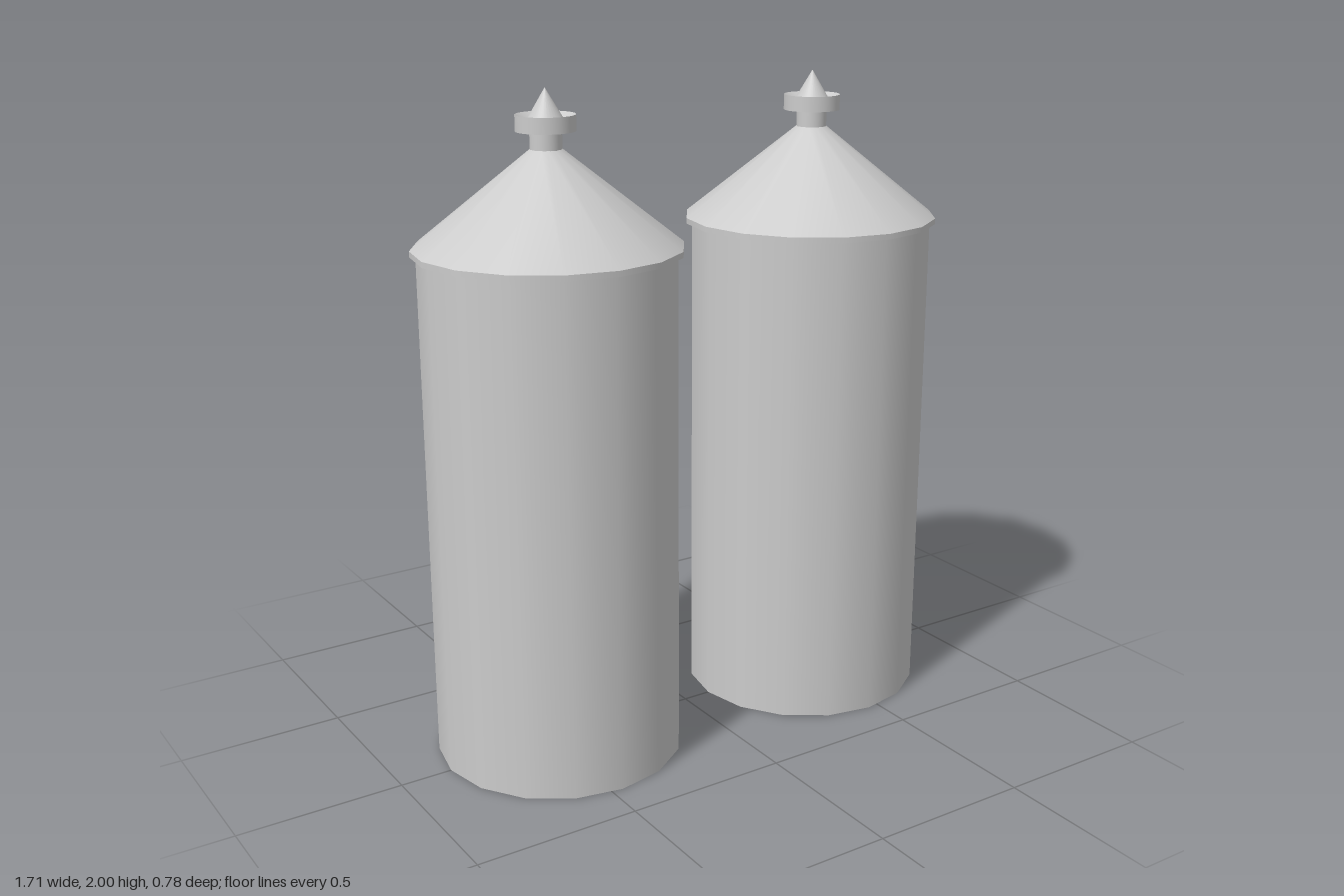
import * as THREE from 'three';
import { mergeGeometries } from 'three/addons/utils/BufferGeometryUtils.js';

const material = new THREE.MeshStandardMaterial({ color: 0xcccccc, side: THREE.DoubleSide });

// Turned part: smooth around the axis, sharp at every profile corner.
function turned(name, profile, sides) {
  const bands = [];
  for (let i = 0; i < profile.length - 1; i++) {
    const ends = [profile[i], profile[i + 1]].map(([r, y]) => new THREE.Vector2(r, y));
    bands.push(new THREE.LatheGeometry(ends, sides));
  }
  const mesh = new THREE.Mesh(mergeGeometries(bands), material);
  mesh.name = name;
  return mesh;
}

function createSilo(name, x) {
  const silo = new THREE.Group();
  silo.name = name;
  silo.position.x = x;
  silo.add(
    // Open-bottomed shell
    turned('body', [[0.375, 0], [0.375, 1.54]], 16),
    // Soffit, thin eave band and conical roof
    turned('roof', [[0.375, 1.537], [0.392, 1.537], [0.392, 1.554], [0.046, 1.83]], 16),
    // Vent neck
    turned('ventNeck', [[0.046, 1.82], [0.046, 1.88]], 32),
    // Dished collar
    turned('ventCollar', [[0.046, 1.88], [0.086, 1.88], [0.086, 1.926], [0.057, 1.904]], 32),
    // Pointed cap
    turned('ventCap', [[0.057, 1.904], [0, 2]], 32)
  );
  return silo;
}

export function createModel() {
  const model = new THREE.Group();
  model.name = 'twinSilos';
  model.add(createSilo('leftSilo', 0.465), createSilo('rightSilo', -0.465));
  return model;
}
